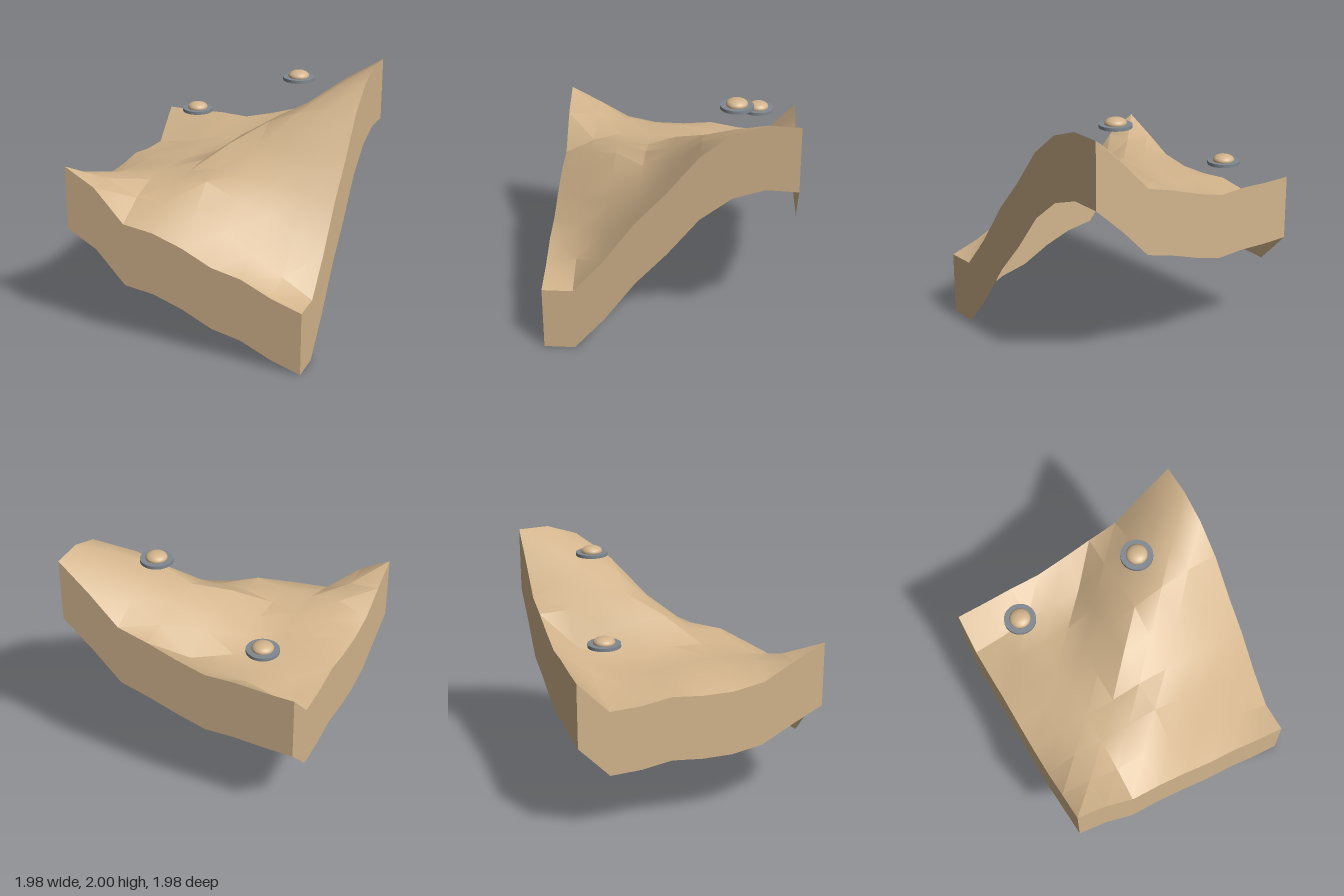
import * as THREE from 'three';
import { toCreasedNormals } from 'three/addons/utils/BufferGeometryUtils.js';

const HALF = 0.988, CELLS = 8, WALL = 0.526;

// Terrain heights, one row per z from back to front, x from -HALF to +HALF
const HEIGHTS = [
  [1.32, 1.32, 1.33, 1.32, 1.385, 1.465, 1.53, 1.775, 1.99],
  [1.065, 1.10, 1.17, 1.20, 1.24, 1.48, 1.65, 1.86, 2.00],
  [1.08, 1.10, 1.15, 1.19, 1.36, 1.55, 1.69, 1.85, 1.92],
  [1.125, 1.18, 1.15, 1.22, 1.42, 1.57, 1.68, 1.74, 1.73],
  [1.105, 1.20, 1.20, 1.25, 1.43, 1.45, 1.46, 1.44, 1.42],
  [1.11, 1.21, 1.21, 1.24, 1.29, 1.28, 1.25, 1.20, 1.15],
  [1.16, 1.25, 1.22, 1.24, 1.27, 1.17, 1.06, 0.93, 0.81],
  [1.30, 1.28, 1.15, 1.15, 1.08, 0.97, 0.83, 0.68, 0.53],
  [1.43, 1.29, 1.02, 0.985, 0.90, 0.78, 0.725, 0.61, 0.53],
];

const coord = (i) => -HALF + (2 * HALF * i) / CELLS;

function terrainGeometry() {
  const geo = new THREE.PlaneGeometry(2 * HALF, 2 * HALF, CELLS, CELLS).rotateX(-Math.PI / 2);
  const pos = geo.attributes.position;
  for (let i = 0; i < pos.count; i++) {
    pos.setY(i, HEIGHTS[Math.floor(i / (CELLS + 1))][i % (CELLS + 1)]);
  }
  return toCreasedNormals(geo, 0.5);
}

// Vertical skirt hanging from one border; cell(i) gives [column, row] along it
function wallGeometry(cell) {
  const points = [], index = [];
  for (let i = 0; i <= CELLS; i++) {
    const [c, r] = cell(i), y = HEIGHTS[r][c];
    points.push(coord(c), y, coord(r), coord(c), y - WALL, coord(r));
    if (i < CELLS) {
      const a = 2 * i;
      index.push(a, a + 1, a + 2, a + 2, a + 1, a + 3);
    }
  }
  const geo = new THREE.BufferGeometry();
  geo.setAttribute('position', new THREE.Float32BufferAttribute(points, 3));
  geo.setIndex(index);
  geo.computeVertexNormals();
  return geo;
}

export function createModel() {
  const sand = new THREE.MeshStandardMaterial({ name: 'sand', color: 0xd2b48c, side: THREE.DoubleSide });
  const metal = new THREE.MeshStandardMaterial({ name: 'greyMetal', color: 0x808890 });
  const model = new THREE.Group();
  model.name = 'terrainWithSaucers';

  const add = (parent, name, geo, material) => {
    const mesh = new THREE.Mesh(geo, material);
    mesh.name = name;
    parent.add(mesh);
    return mesh;
  };

  // Ground surface and its four walls, open underneath
  add(model, 'terrain', terrainGeometry(), sand);
  const walls = {
    frontWall: (i) => [i, CELLS],
    backWall: (i) => [CELLS - i, 0],
    leftWall: (i) => [CELLS, CELLS - i],
    rightWall: (i) => [0, i],
  };
  for (const [name, cell] of Object.entries(walls)) add(model, name, wallGeometry(cell), sand);

  // Hovering saucers: flat disc with a flattened ball through it
  for (const [x, y, z] of [[-0.58, 1.47, -0.665], [0.41, 1.915, -0.5]]) {
    const saucer = new THREE.Group();
    saucer.name = 'saucer';
    saucer.position.set(x, y, z);
    add(saucer, 'disc', new THREE.CylinderGeometry(0.13, 0.13, 0.026, 32), metal).position.y = -0.021;
    add(saucer, 'dome', new THREE.SphereGeometry(0.086, 32, 16), sand).scale.y = 0.52;
    model.add(saucer);
  }
  return model;
}
